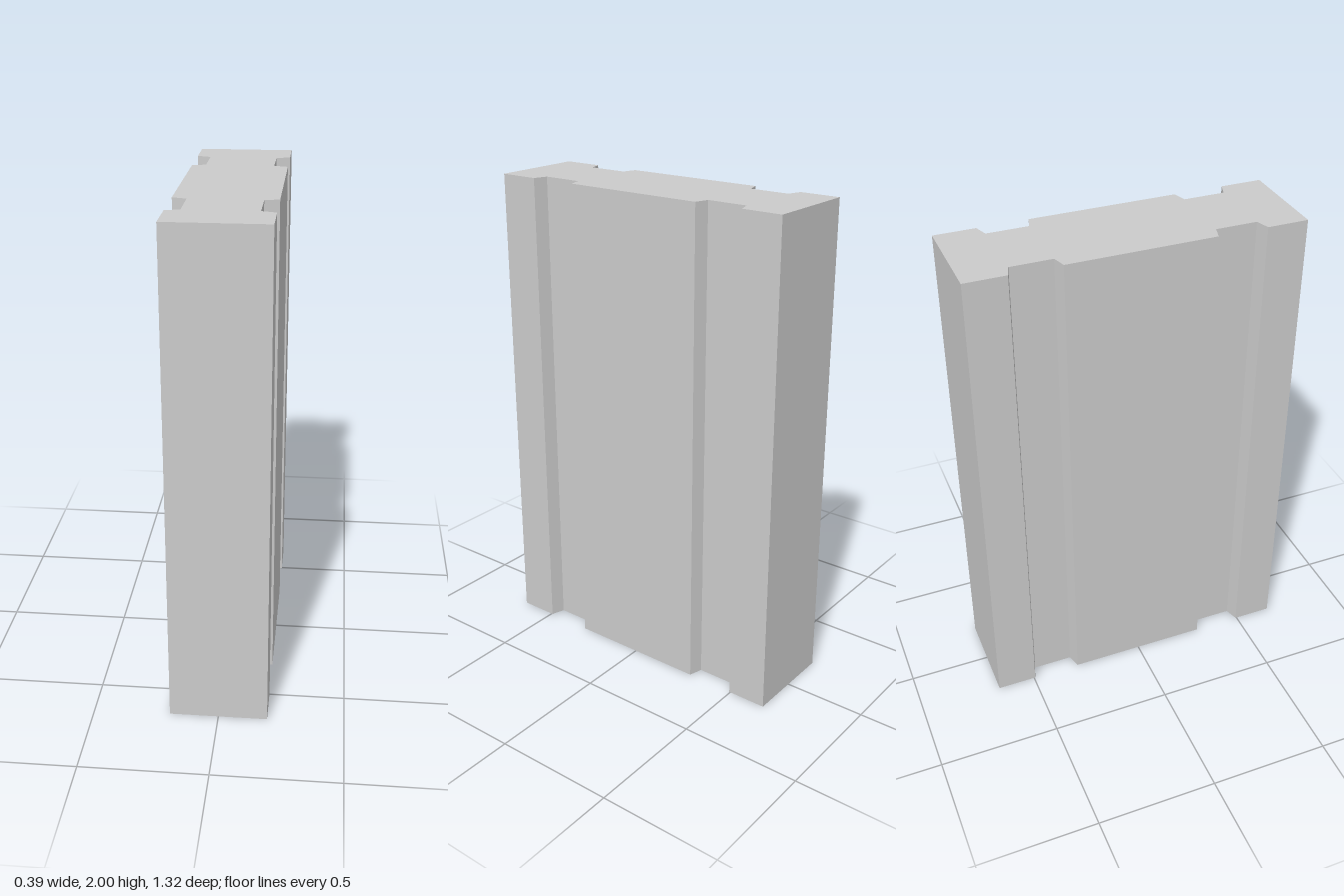
import * as THREE from 'three';

const HEIGHT = 2;
const HALF_WIDTH = 0.195;   // x of the side faces
const GROOVE_FLOOR = 0.139; // x of the groove floors
const HALF_DEPTH = 0.66;    // z of the end faces

export function createModel() {
  const group = new THREE.Group();
  group.name = 'groovedBlock';

  // One groove edge as [x, z], from the outer lip to the inner lip
  const groove = [
    [HALF_WIDTH, 0.495], [GROOVE_FLOOR, 0.477],
    [GROOVE_FLOOR, 0.311], [HALF_WIDTH, 0.295],
  ];

  // One side from end to end: two mirrored grooves between the corners
  const half = [[HALF_WIDTH, HALF_DEPTH], ...groove];
  const side = [
    ...half.map(([x, z]) => new THREE.Vector2(x, -z)),
    ...half.map(([x, z]) => new THREE.Vector2(x, z)).reverse(),
  ];
  // The opposite side is the same outline turned half a circle
  const outline = [...side, ...side.map((p) => p.clone().negate())];

  // Extrude the plan outline upwards
  const geometry = new THREE.ExtrudeGeometry(new THREE.Shape(outline), {
    depth: HEIGHT,
    bevelEnabled: false,
  });
  geometry.rotateX(-Math.PI / 2);

  const block = new THREE.Mesh(
    geometry,
    new THREE.MeshStandardMaterial({ color: 0xcccccc, flatShading: true }),
  );
  block.name = 'groovedPillar';
  group.add(block);
  return group;
}
